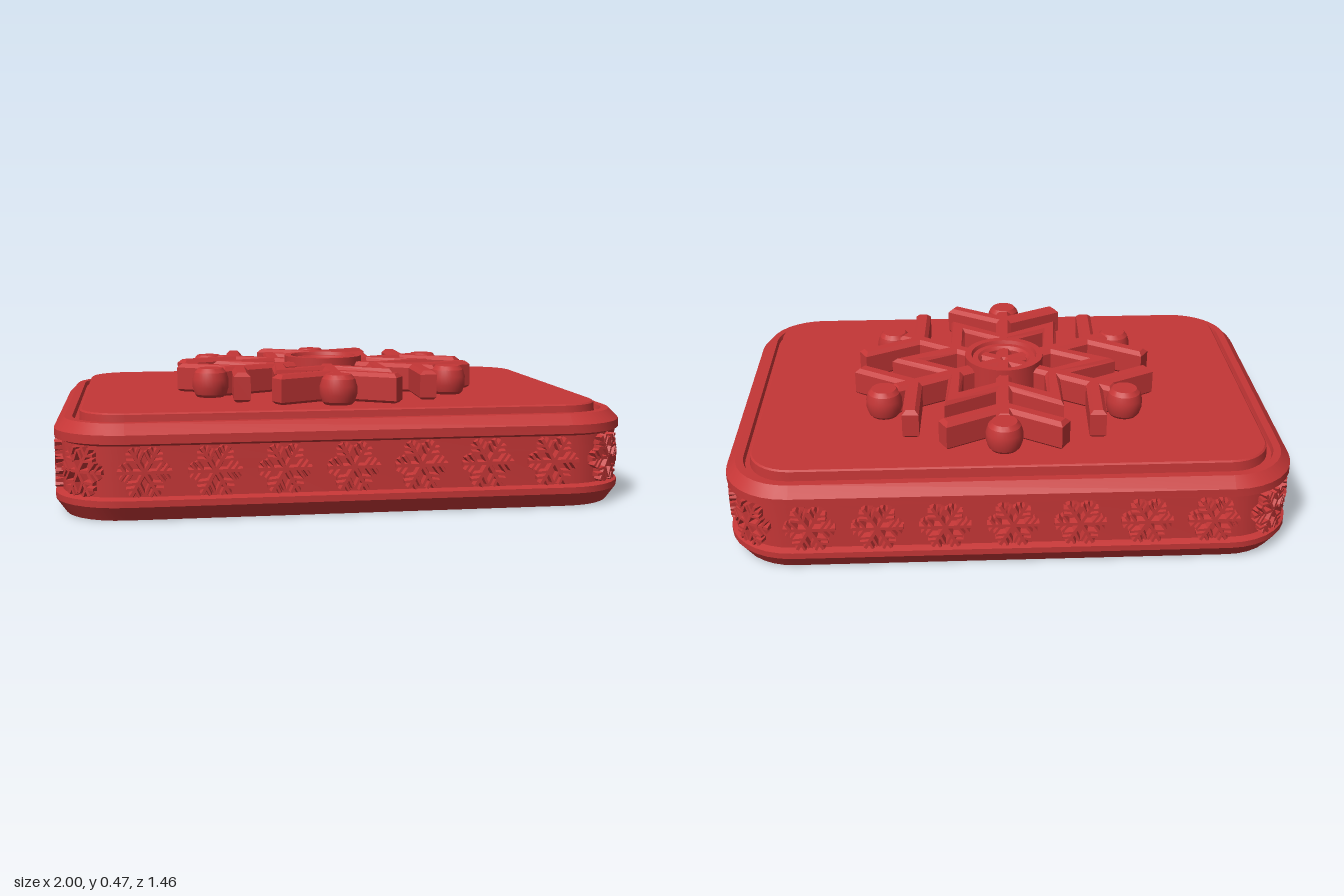
import * as THREE from 'three';
import { mergeGeometries, toCreasedNormals } from 'three/addons/utils/BufferGeometryUtils.js';

const red = new THREE.MeshStandardMaterial({ color: 0xc43636, side: THREE.DoubleSide });
const CX = 0.76, CZ = 0.49, R = 0.24; // corner centres and radius of the box outline
const WIN = { z: 0.11, y0: 0.2, y1: 0.29 }; // side windows

function add(parent, name, geometry) {
  const mesh = new THREE.Mesh(geometry, red);
  mesh.name = name;
  parent.add(mesh);
  return mesh;
}

// Columns round the rounded rectangle, with extra ones beside each window
function outlineColumns() {
  const cols = [];
  [[1, 1], [-1, 1], [-1, -1], [1, -1]].forEach(([sx, sz], q) => {
    for (let i = 0; i <= 8; i++) {
      const a = (q + i / 8) * Math.PI / 2;
      cols.push({ x: sx * CX, z: sz * CZ, nx: Math.cos(a), nz: Math.sin(a) });
    }
    if (q % 2) {
      const s = q === 1 ? -1 : 1;
      cols.push({ x: s * CX, z: -s * WIN.z, nx: s, nz: 0, window: true });
      cols.push({ x: s * CX, z: s * WIN.z, nx: s, nz: 0 });
    }
  });
  // first window column must lead the second in travel order
  return cols;
}

// Skin through [inset, y] rows; a null inset closes the row at the centre
function loft(rows) {
  const cols = outlineColumns(), pos = [];
  const at = (c, [inset, y]) => inset === null ? [0, y, 0]
    : [c.x + c.nx * (R - inset), y, c.z + c.nz * (R - inset)];
  for (let j = 0; j < rows.length - 1; j++) {
    const lo = Math.min(rows[j][1], rows[j + 1][1]), hi = Math.max(rows[j][1], rows[j + 1][1]);
    cols.forEach((c, i) => {
      if (c.window && lo >= WIN.y0 && hi <= WIN.y1) return;
      const n = cols[(i + 1) % cols.length];
      const A = at(c, rows[j]), B = at(c, rows[j + 1]), C = at(n, rows[j + 1]), D = at(n, rows[j]);
      if (rows[j + 1][0] !== null) pos.push(...A, ...B, ...C);
      if (rows[j][0] !== null) pos.push(...A, ...C, ...D);
    });
  }
  const g = new THREE.BufferGeometry();
  g.setAttribute('position', new THREE.Float32BufferAttribute(pos, 3));
  g.computeVertexNormals();
  return toCreasedNormals(g, 0.4);
}

// Outline path used to wrap the relief round the walls
function wallPath() {
  const p = new THREE.Path(), h = Math.PI / 2;
  p.moveTo(0, CZ + R).lineTo(CX, CZ + R);
  p.absarc(CX, CZ, R, h, 0, true);
  p.absarc(CX, -CZ, R, 0, -h, true);
  p.absarc(-CX, -CZ, R, -h, -2 * h, true);
  p.absarc(-CX, CZ, R, -2 * h, -3 * h, true);
  p.lineTo(0, CZ + R);
  return p;
}

// One small flat snowflake: six arms with a pair of twigs each
function smallFlake() {
  const bar = (x, y, angle, len, w) => {
    const g = new THREE.BoxGeometry(len, w, 0.03), p = g.attributes.position;
    for (let i = 0; i < p.count; i++) if (p.getZ(i) > 0) p.setY(i, p.getY(i) * 0.5);
    return g.translate(len / 2, 0, 0).rotateZ(angle).translate(x, y, 0);
  };
  const parts = [];
  for (let k = 0; k < 6; k++) {
    const a = k * Math.PI / 3;
    parts.push(bar(0, 0, a, 0.09, 0.022));
    for (const r of [0.04, 0.062]) for (const s of [-1, 1])
      parts.push(bar(Math.cos(a) * r, Math.sin(a) * r, a + s * 0.95, r === 0.04 ? 0.04 : 0.03, 0.017));
  }
  return mergeGeometries(parts).toNonIndexed();
}

// Snowflakes repeated along the wall, cut short below the windows
function flakeBand() {
  const path = wallPath(), L = path.getLength(), flake = smallFlake(), all = [];
  const count = 28;
  for (let n = 0; n < count; n++) {
    const g = flake.clone(), p = g.attributes.position;
    for (let i = 0; i < p.count; i++) {
      const u = (((n / count + p.getX(i) / L) % 1) + 1) % 1;
      const c = path.getPoint(u), t = path.getTangent(u), d = p.getZ(i) - 0.015;
      const y = 0.165 + p.getY(i);
      p.setXYZ(i, c.x - t.y * d, n % 14 === 7 ? Math.min(y, 0.165) : y, c.y + t.x * d);
    }
    g.computeVertexNormals();
    all.push(g);
  }
  return mergeGeometries(all);
}

const shapeOf = pts => new THREE.Shape(pts.map(([x, y]) => new THREE.Vector2(x, y)));

// Bevelled slab lying on the lid
function slab(shape, y0 = 0.345, y1 = 0.455, bevel = 0.014) {
  const g = new THREE.ExtrudeGeometry(shape, {
    depth: y1 - y0 - 2 * bevel, bevelThickness: bevel, bevelSize: bevel, bevelOffset: -bevel, bevelSegments: 1,
  });
  return g.rotateX(-Math.PI / 2).translate(0, y0 + bevel, 0);
}

function starPoints(outer, inner) {
  return Array.from({ length: 12 }, (_, i) => {
    const r = i % 2 ? inner : outer, a = i * Math.PI / 6;
    return [r * Math.cos(a), r * Math.sin(a)];
  });
}

const lathe = pts => toCreasedNormals(
  new THREE.LatheGeometry(pts.map(([r, y]) => new THREE.Vector2(r, y)), 32), 0.4);

// Large snowflake on the lid
function ornament() {
  const g = new THREE.Group();
  g.name = 'lidSnowflake';
  const w = 0.03;
  const armGeo = slab(shapeOf([[-w, 0], [w, 0], [w, 0.47], [-w, 0.47]]));
  const twigGeo = slab(shapeOf([[-w, -0.01], [w, -0.01], [w, 0.25], [-w, 0.25]]));
  const ballGeo = lathe([[0, 0.345], [0.045, 0.345], [0.058, 0.36], [0.066, 0.385],
    [0.066, 0.415], [0.058, 0.44], [0.045, 0.455], [0, 0.455]]);
  for (let k = 0; k < 6; k++) {
    const arm = new THREE.Group();
    arm.name = 'snowflakeArm';
    arm.rotation.y = k * Math.PI / 3;
    add(arm, 'armBar', armGeo);
    add(arm, 'armBall', ballGeo).position.z = -0.51;
    for (const s of [-1, 1]) {
      const twig = add(arm, 'armTwig', twigGeo);
      twig.position.z = -0.385;
      twig.rotation.y = s * Math.PI / 3;
    }
    g.add(arm);
  }
  const star = shapeOf(starPoints(0.43, 0.24));
  star.holes.push(new THREE.Path(shapeOf(starPoints(0.315, 0.176)).getPoints().reverse()));
  add(g, 'starRing', slab(star));
  add(g, 'hubRing', lathe([[0.15, 0.345], [0.15, 0.475], [0.125, 0.475], [0.12, 0.462],
    [0.1, 0.462], [0.088, 0.45], [0.088, 0.345]]));
  g.rotation.y = -0.04;
  return g;
}

export function createModel() {
  const model = new THREE.Group();
  model.name = 'snowflakeBox';

  // Outer shell with recessed band, rim, groove and raised lid panel
  add(model, 'boxShell', loft([[null, 0], [0.035, 0], [0, 0.05], [0, 0.072], [0.025, 0.08], [0.025, 0.2],
    [0.025, 0.25], [0, 0.26], [0, 0.29], [0.035, 0.325], [0.062, 0.325], [0.068, 0.31], [0.085, 0.31],
    [0.088, 0.345], [0.094, 0.35], [null, 0.35]]));
  add(model, 'boxInterior', loft([[null, 0.3], [0.1, 0.3], [0.1, 0.29], [0.1, 0.2], [0.1, 0.05], [null, 0.05]]));

  // Frames lining the side windows
  const frame = shapeOf([[-0.14, 0.16], [0.14, 0.16], [0.14, 0.291], [-0.14, 0.291]]);
  frame.holes.push(new THREE.Path([[-WIN.z, WIN.y0], [-WIN.z, WIN.y1], [WIN.z, WIN.y1], [WIN.z, WIN.y0]]
    .map(([x, y]) => new THREE.Vector2(x, y))));
  const frameGeo = new THREE.ExtrudeGeometry(frame, { depth: 0.098, bevelEnabled: false }).translate(0, 0, 0.9);
  for (const s of [-1, 1]) add(model, 'windowFrame', frameGeo).rotation.y = s * Math.PI / 2;

  add(model, 'snowflakeBand', flakeBand());
  model.add(ornament());
  return model;
}
